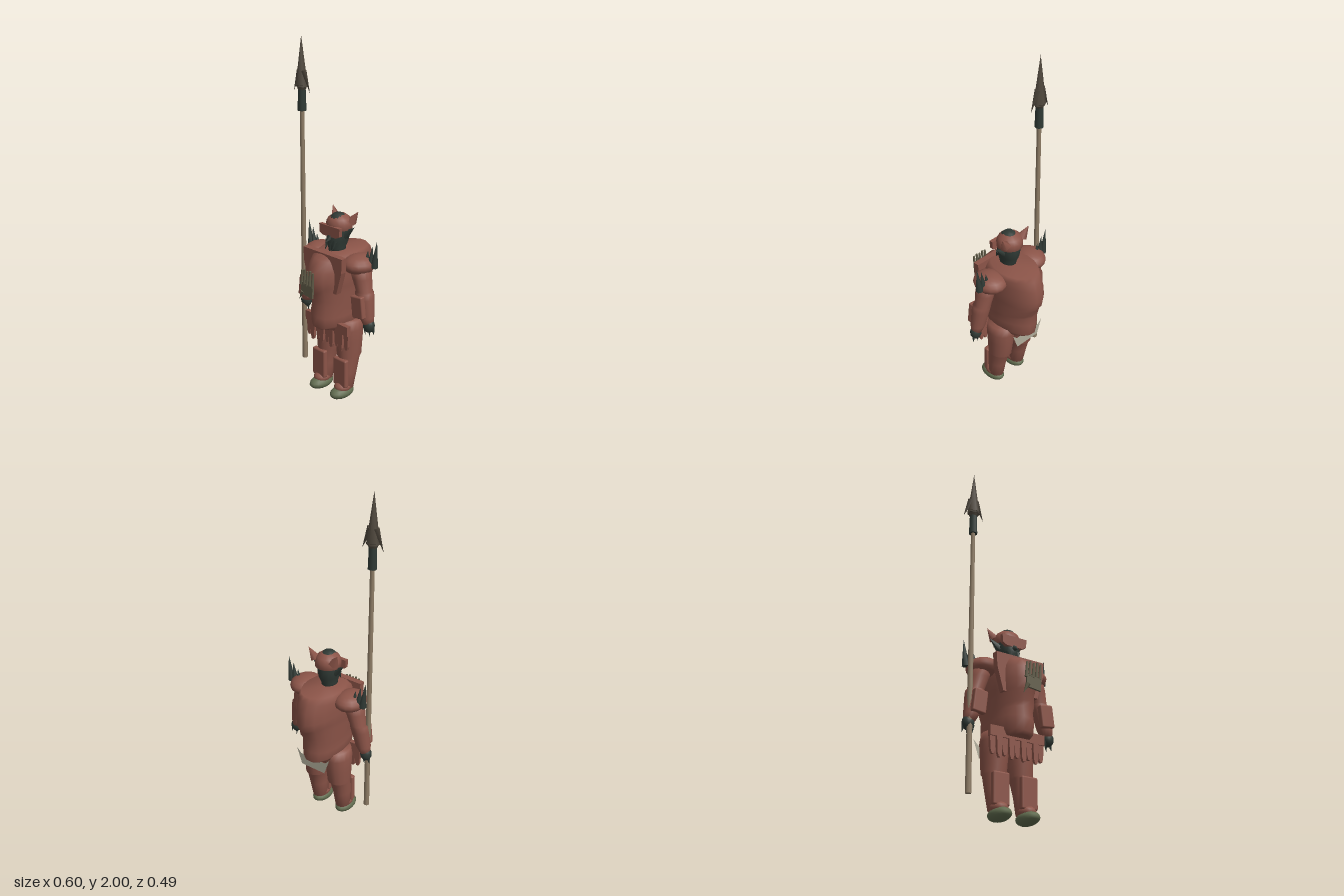
import * as THREE from 'three';
import { RoundedBoxGeometry } from 'three/addons/geometries/RoundedBoxGeometry.js';

const paint = (name, color, opts = {}) => {
  const m = new THREE.MeshStandardMaterial({ color, ...opts });
  m.name = name;
  return m;
};

// Smooth tube through elliptical rings [y, cx, cz, rx, rz], listed upwards, closed at both ends
function loft(rings, seg = 16, ripple = 0) {
  const first = rings[0], last = rings[rings.length - 1];
  const rows = [[first[0], first[1], first[2], 0, 0], ...rings, [last[0], last[1], last[2], 0, 0]];
  const pos = [], idx = [];
  rows.forEach(([y, cx, cz, rx, rz], r) => {
    for (let i = 0; i < seg; i++) {
      const a = (i / seg) * Math.PI * 2;
      const fold = r > 1 && r < rows.length - 2 ? ripple * Math.sin(a * 2 + r) : 0;
      pos.push(cx + Math.cos(a) * rx, y + fold, cz + Math.sin(a) * rz);
      if (r < rows.length - 1) {
        const p = r * seg + i, q = r * seg + ((i + 1) % seg);
        idx.push(p, p + seg, q, q, p + seg, q + seg);
      }
    }
  });
  const g = new THREE.BufferGeometry();
  g.setAttribute('position', new THREE.Float32BufferAttribute(pos, 3));
  g.setIndex(idx);
  g.computeVertexNormals();
  return g;
}

// Flat plate from an outline
function plate(points, depth) {
  const shape = new THREE.Shape(points.map(([x, y]) => new THREE.Vector2(x, y)));
  return new THREE.ExtrudeGeometry(shape, { depth, bevelEnabled: false });
}

export function createModel() {
  const brick = paint('brick armour', 0x8b5448);
  const dark = paint('dark skin', 0x303a35);
  const olive = paint('olive boot', 0x606b4e);
  const wood = paint('spear wood', 0x8f7d66);
  const iron = paint('spear iron', 0x50483d);
  const cloth = paint('pale cloth', 0xb0ac9a, { side: THREE.DoubleSide });
  const bone = paint('emblem bone', 0x625d49);

  const model = new THREE.Group();
  model.name = 'armouredSpearman';
  const body = new THREE.Group();
  body.name = 'body';
  body.position.x = 0.012;
  model.add(body);

  const add = (name, geo, mat, x = 0, y = 0, z = 0, parent = body) => {
    const m = new THREE.Mesh(geo, mat);
    m.name = name;
    m.position.set(x, y, z);
    parent.add(m);
    return m;
  };
  const ball = (name, mat, x, y, z, rx, ry, rz) => {
    const m = add(name, new THREE.SphereGeometry(1, 16, 10), mat, x, y, z);
    m.scale.set(rx, ry, rz);
    return m;
  };
  // Cone from a base point to a tip
  const spike = (name, mat, base, tip, r, sides = 6, parent = body) => {
    const a = new THREE.Vector3(...base), d = new THREE.Vector3(...tip).sub(a);
    const len = d.length();
    const m = add(name, new THREE.ConeGeometry(r, len, sides), mat, 0, 0, 0, parent);
    m.position.copy(a).addScaledVector(d, 0.5);
    m.quaternion.setFromUnitVectors(new THREE.Vector3(0, 1, 0), d.normalize());
    return m;
  };

  // Deep, folded torso
  add('torso', loft([
    [0.435, 0, -0.01, 0.092, 0.165], [0.46, 0, -0.008, 0.108, 0.185], [0.52, 0, -0.007, 0.113, 0.19],
    [0.57, 0, -0.012, 0.108, 0.185], [0.60, 0, -0.015, 0.116, 0.198], [0.65, 0, -0.018, 0.112, 0.207],
    [0.68, 0, -0.02, 0.12, 0.22], [0.73, 0, -0.02, 0.122, 0.226], [0.79, 0, -0.02, 0.122, 0.22],
    [0.84, 0, -0.03, 0.12, 0.19], [0.87, 0, -0.045, 0.108, 0.155],
  ], 18, 0.012), brick);
  add('breastplate', plate([[-0.15, 0.872], [-0.145, 0.79], [-0.108, 0.66], [0.108, 0.66], [0.145, 0.79], [0.15, 0.872]], 0.035),
    brick, 0, 0, 0.087);
  add('hips', loft([[0.38, 0, -0.01, 0.1, 0.07], [0.43, 0, -0.01, 0.13, 0.085], [0.47, 0, -0.01, 0.12, 0.08]]), brick);

  // Skirt band with hanging strips
  add('skirtBand', new THREE.BoxGeometry(0.333, 0.055, 0.026), brick, 0, 0.448, 0.083);
  for (let i = 0; i < 9; i++) {
    const drop = i % 2 ? 0.315 : 0.33;
    add('skirtStrip', plate([[-0.0175, 0.43], [-0.013, drop + 0.02], [-0.006, drop], [0.006, drop], [0.013, drop + 0.02], [0.0175, 0.43]], 0.016),
      brick, -0.148 + i * 0.037, 0, 0.072 + (i % 2) * 0.008);
  }

  // Rear loincloth
  add('rearCloth', new THREE.ShapeGeometry(new THREE.Shape([
    [-0.115, 0.475], [-0.08, 0.375], [0.08, 0.375], [0.115, 0.475], [0.085, 0.445], [-0.085, 0.445],
  ].map(([x, y]) => new THREE.Vector2(x, y)))), cloth, 0, 0, -0.152);

  for (const s of [1, -1]) {
    const side = s > 0 ? 'left' : 'right';
    const mirror = rows => rows.map(([y, x, ...rest]) => [y, x * s, ...rest]);

    // Leg, shin guard and boot
    add(side + 'Leg', loft(mirror([
      [0.06, 0.084, 0.025, 0.042, 0.05], [0.16, 0.086, 0.012, 0.05, 0.058], [0.245, 0.083, -0.003, 0.057, 0.066],
      [0.255, 0.08, -0.008, 0.064, 0.074], [0.35, 0.077, -0.01, 0.07, 0.082], [0.42, 0.076, -0.01, 0.074, 0.088],
      [0.47, 0.07, -0.01, 0.07, 0.085],
    ])), brick);
    add(side + 'ShinGuard', new RoundedBoxGeometry(0.098, 0.17, 0.032, 2, 0.01), brick, s * 0.085, 0.165, 0.062);
    ball(side + 'BootTop', brick, s * 0.084, 0.07, 0.045, 0.046, 0.034, 0.055);
    ball(side + 'Boot', olive, s * 0.084, 0.038, 0.053, 0.05, 0.036, 0.083);

    // Arm, shoulder guard, bracer and clawed hand
    add(side + 'Arm', loft(mirror([
      [0.5, 0.243, 0.012, 0.03, 0.03], [0.54, 0.23, 0.012, 0.043, 0.042], [0.64, 0.211, 0.006, 0.052, 0.05],
      [0.672, 0.205, 0.003, 0.052, 0.052], [0.68, 0.2, 0, 0.045, 0.047], [0.75, 0.182, 0, 0.053, 0.056],
      [0.81, 0.165, 0, 0.055, 0.058],
    ])), brick);
    ball(side + 'ShoulderGuard', brick, s * 0.153, 0.817, -0.01, 0.087, 0.054, 0.1);
    const bracer = add(side + 'Bracer', new RoundedBoxGeometry(0.08, 0.125, 0.034, 2, 0.008), brick, s * 0.21, 0.6, 0.055);
    bracer.rotation.z = s * 0.12;
    ball(side + 'Hand', dark, s * 0.249, 0.49, 0.012, 0.033, 0.04, 0.032);
    for (let i = 0; i < 4; i++) {
      spike(side + 'Claw', dark, [s * (0.226 + i * 0.015), 0.48, 0.02 - (i % 2) * 0.015],
        [s * (0.228 + i * 0.017), 0.425 + Math.abs(i - 1) * 0.006, 0.018 - (i % 2) * 0.015], 0.011);
    }

    // Shoulder spikes, taller outwards
    for (let i = 0; i < 3; i++) {
      spike(side + 'ShoulderSpike', dark, [s * (0.19 + i * 0.028), 0.815, -0.027],
        [s * (0.199 + i * 0.032), 0.9 + i * 0.034, -0.027], 0.021);
    }

    // Ear, horn and tusk
    spike(side + 'Ear', dark, [s * 0.045, 0.955, -0.005], [s * 0.108, 1.01, -0.015], 0.026);
    spike(side + 'Horn', brick, [s * 0.06, 1.025, -0.04], [s * 0.098, 1.088, -0.055], 0.03, 5);
    spike(side + 'Tusk', dark, [s * 0.028, 0.925, 0.05], [s * 0.025, 0.875, 0.075], 0.016);
  }

  // Head and open-topped helmet
  add('head', loft([
    [0.84, 0, 0, 0.045, 0.045], [0.88, 0, 0.008, 0.04, 0.055], [0.92, 0, 0.003, 0.053, 0.068],
    [0.96, 0, 0, 0.06, 0.07], [1.01, 0, -0.005, 0.06, 0.064], [1.05, 0, -0.003, 0.048, 0.05],
    [1.07, 0, -0.001, 0.028, 0.028],
  ], 14), dark);
  spike('nose', dark, [0, 0.95, 0.055], [0, 0.925, 0.1], 0.022, 5);
  spike('beard', dark, [0, 0.915, 0.05], [0, 0.862, 0.07], 0.025, 5);
  const dome = [[0.062, 0.985], [0.073, 0.987], [0.073, 1.02], [0.062, 1.045], [0.034, 1.066], [0.028, 1.06]];
  add('helmet', new THREE.LatheGeometry(dome.map(p => new THREE.Vector2(...p)), 16), brick, 0, 0, -0.008);
  const visor = add('visor', plate([[-0.075, 0.965], [-0.05, 0.952], [0.05, 0.952], [0.075, 0.965], [0.078, 1.012], [-0.078, 1.012]], 0.022),
    brick, 0, 0, 0.047);
  visor.name = 'visor';

  // Hand-shaped emblem ahead of the chest
  const emblem = new THREE.Group();
  emblem.name = 'handEmblem';
  model.add(emblem);
  add('palm', plate([[-0.03, 0.66], [0.055, 0.65], [0.06, 0.715], [-0.03, 0.73]], 0.012), bone, 0, 0, 0.228, emblem);
  for (let i = 0; i < 5; i++) {
    const finger = add('finger', new THREE.CylinderGeometry(0.006, 0.009, 0.085, 6), bone,
      -0.028 + i * 0.021, 0.755 + (i % 2) * 0.006, 0.235, emblem);
    finger.rotation.z = -0.08;
  }
  spike('thumb', bone, [-0.022, 0.675, 0.235], [-0.05, 0.62, 0.235], 0.013, 6, emblem);

  // Barbed spear
  const spear = new THREE.Group();
  spear.name = 'spear';
  spear.position.set(-0.238, 0, 0.028);
  model.add(spear);
  add('shaft', new THREE.CylinderGeometry(0.012, 0.016, 1.5, 8), wood, 0, 0.875, 0, spear);
  add('socket', new THREE.CylinderGeometry(0.02, 0.024, 0.15, 8), dark, 0, 1.675, 0, spear);
  const blade = add('blade', new THREE.ConeGeometry(0.036, 0.27, 6), iron, 0, 1.865, 0, spear);
  blade.scale.z = 0.9;
  add('bladeBase', new THREE.CylinderGeometry(0.034, 0.02, 0.03, 6), iron, 0, 1.725, 0, spear);
  for (const s of [1, -1]) spike('barb', iron, [s * 0.018, 1.815, 0], [s * 0.064, 1.7, 0], 0.019, 4, spear);

  return model;
}
